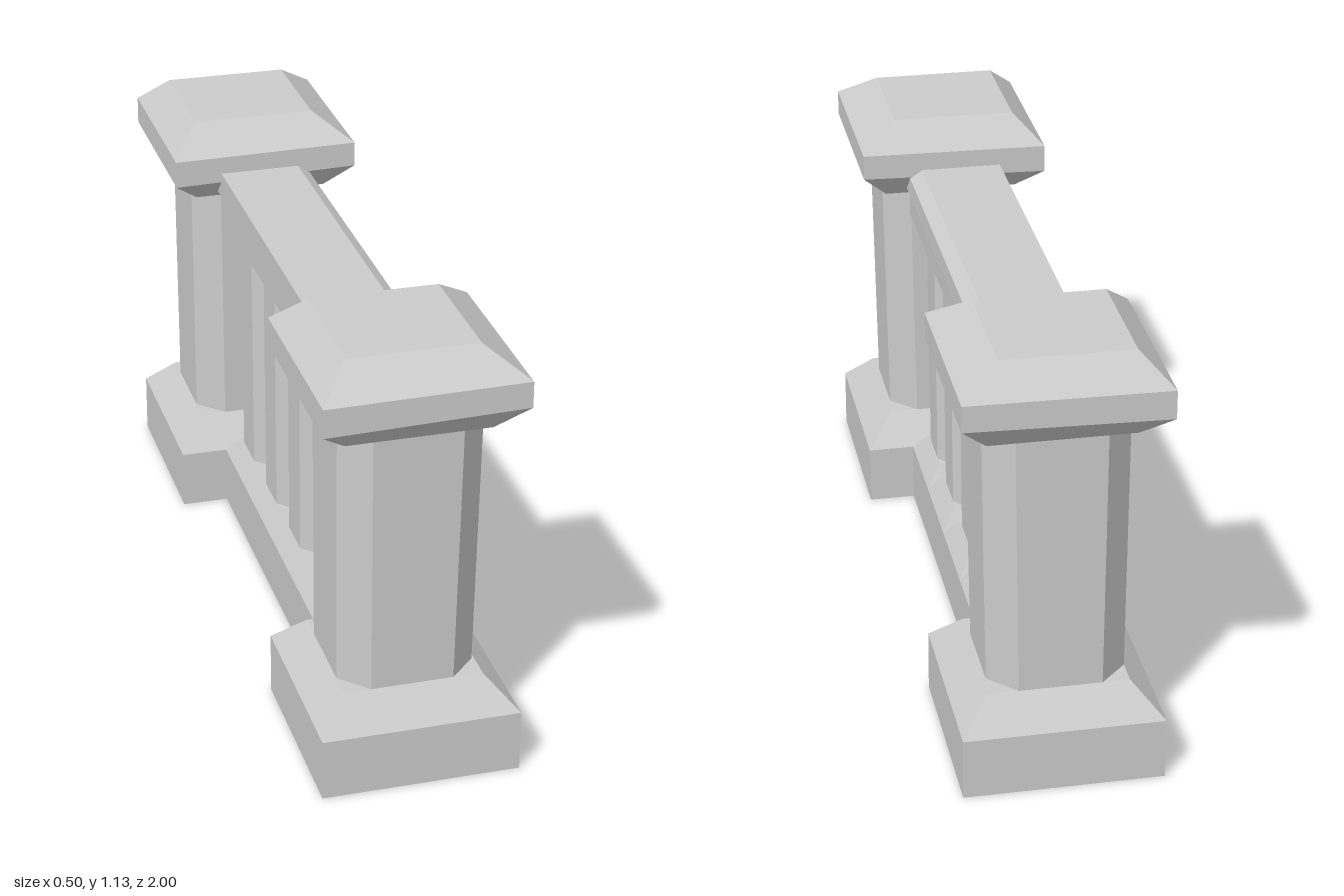
import * as THREE from 'three';

const stone = new THREE.MeshStandardMaterial({ color: 0xcccccc, flatShading: true });

// Horizontal ring [x, y, z]; c cuts the corners, tilt raises the +x side.
function ring(y, x0, x1, z0, z1, c = 0, tilt = 0) {
  const pts = c
    ? [[x1 - c, z1], [x1, z1 - c], [x1, z0 + c], [x1 - c, z0],
       [x0 + c, z0], [x0, z0 + c], [x0, z1 - c], [x0 + c, z1]]
    : [[x1, z1], [x1, z0], [x0, z0], [x0, z1]];
  return pts.map(([x, z]) => [x, y + (x > 0 ? tilt : -tilt), z]);
}
const square = (y, h, tilt = 0) => ring(y, -h, h, -h, h, 0, tilt);

// Closed faceted solid through rings stacked from bottom to top.
function loft(name, rings) {
  const pos = [];
  const n = rings[0].length;
  const tri = (a, b, c) => pos.push(...a, ...b, ...c);
  for (let r = 0; r < rings.length - 1; r++) {
    for (let i = 0; i < n; i++) {
      const j = (i + 1) % n, lo = rings[r], hi = rings[r + 1];
      tri(lo[i], lo[j], hi[j]);
      tri(lo[i], hi[j], hi[i]);
    }
  }
  const bottom = rings[0], top = rings[rings.length - 1];
  for (let i = 1; i < n - 1; i++) {
    tri(bottom[0], bottom[i + 1], bottom[i]);
    tri(top[0], top[i], top[i + 1]);
  }
  const geo = new THREE.BufferGeometry();
  geo.setAttribute('position', new THREE.Float32BufferAttribute(pos, 3));
  geo.computeVertexNormals();
  const mesh = new THREE.Mesh(geo, stone);
  mesh.name = name;
  return mesh;
}

// Large end post: stepped base, chamfered shaft, slightly crooked cap.
function makePost() {
  const post = new THREE.Group();
  post.add(
    loft('postBase', [square(0, 0.25), square(0.16, 0.25), square(0.24, 0.175)]),
    loft('postShaft', [
      ring(0.23, -0.175, 0.168, -0.175, 0.172, 0.068),
      ring(0.93, -0.178, 0.18, -0.178, 0.175, 0.068),
    ]),
    loft('postCap', [
      square(0.918, 0.18),
      square(0.988, 0.25, 0.006),
      square(1.058, 0.25, 0.003),
      ring(1.13, -0.174, 0.152, -0.172, 0.158),
    ]),
  );
  return post;
}

// Slim baluster with its section of plinth and rail block.
function makeBaluster() {
  const baluster = new THREE.Group();
  baluster.add(
    loft('balusterBase', [square(0, 0.125), square(0.16, 0.125), square(0.214, 0.0875)]),
    loft('balusterShaft', [
      ring(0.2, -0.0875, 0.085, -0.0875, 0.0875, 0.03),
      ring(0.83, -0.089, 0.09, -0.0875, 0.0875, 0.03),
    ]),
    loft('balusterHead', [square(0.82, 0.0885), square(0.885, 0.125), square(0.945, 0.125)]),
  );
  return baluster;
}

export function createModel() {
  const model = new THREE.Group();
  model.name = 'balustrade';

  for (const z of [0.75, -0.75]) {
    const post = makePost();
    post.name = z > 0 ? 'frontPost' : 'backPost';
    post.position.z = z;
    model.add(post);
  }

  for (let i = 0; i < 4; i++) {
    const baluster = makeBaluster();
    baluster.name = 'baluster' + (i + 1);
    baluster.position.z = 0.375 - i * 0.25;
    model.add(baluster);
  }

  // Handrail running into both posts, with one bevelled long edge
  model.add(loft('handrail', [
    ring(0.94, -0.125, 0.125, -0.58, 0.58),
    ring(0.987, -0.125, 0.123, -0.58, 0.58),
    ring(1.01, -0.125, 0.09, -0.58, 0.58),
  ]));
  return model;
}
